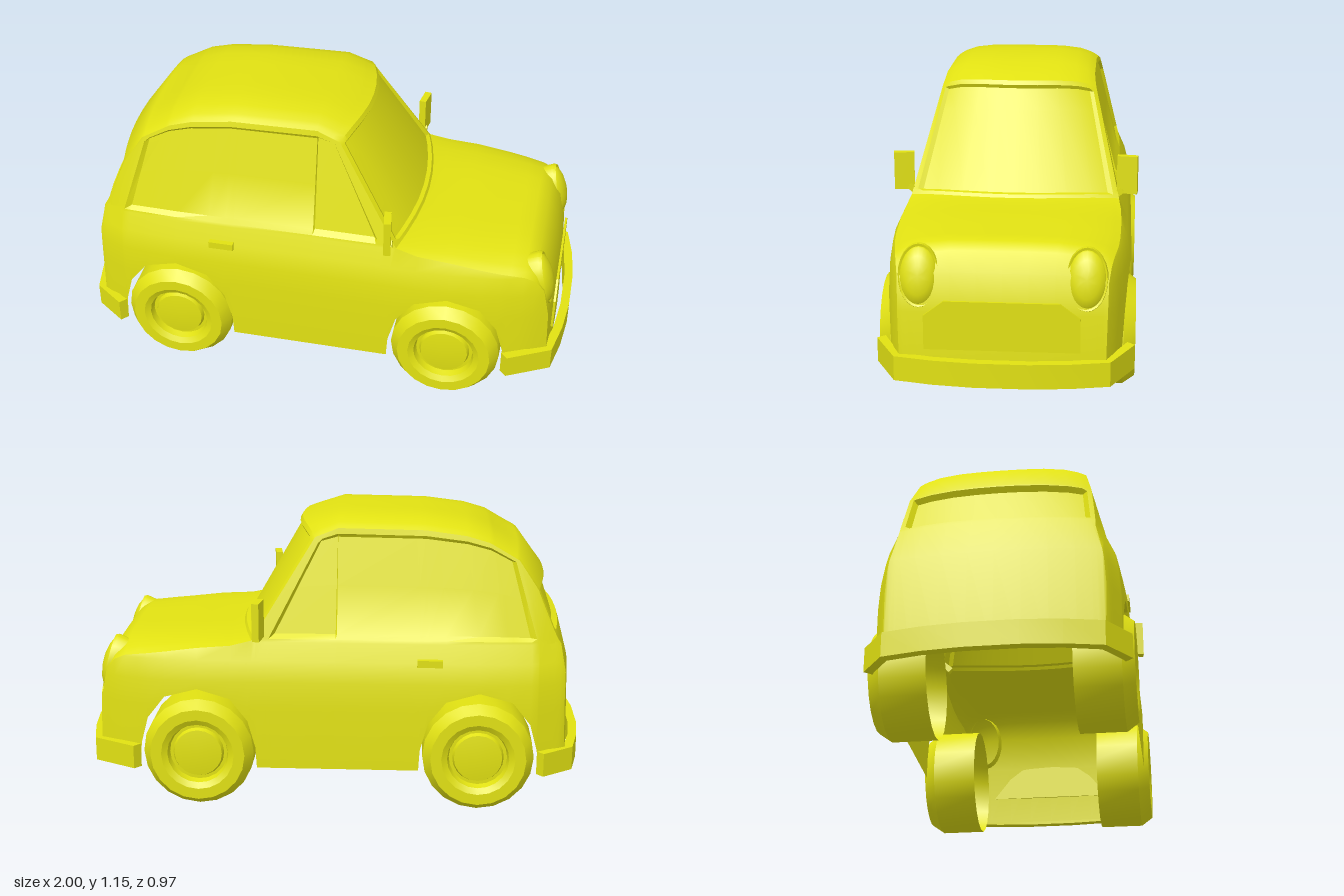
import * as THREE from 'three';
import { toCreasedNormals } from 'three/addons/utils/BufferGeometryUtils.js';

const paint = new THREE.MeshStandardMaterial({ color: 0xe1e112, side: THREE.DoubleSide });
paint.name = 'yellow paint';

function add(parent, name, geometry, crease = 0.55) {
  const mesh = new THREE.Mesh(toCreasedNormals(geometry, crease), paint);
  mesh.name = name;
  parent.add(mesh);
  return mesh;
}

// linear lookup in rows of [key, ...values]; returns the values
function lookup(rows, k) {
  const i = rows.findIndex((row) => k <= row[0]);
  if (i === 0) return rows[0].slice(1);
  if (i < 0) return rows[rows.length - 1].slice(1);
  const a = rows[i - 1], b = rows[i];
  const t = (k - a[0]) / (b[0] - a[0]);
  return a.slice(1).map((v, n) => v + (b[n + 1] - v) * t);
}

const FLOOR = 0.165, BELT = 0.67;
const WHEELS = { front: 0.53, rear: -0.58 };

// half width along the car, and how it narrows with height
const plan = [[-0.96, 0.37], [-0.9, 0.41], [-0.8, 0.45], [-0.6, 0.465], [0.5, 0.468], [0.7, 0.45], [0.85, 0.415], [0.94, 0.375]];
const taper = [[0.42, 1], [0.52, 0.985], [0.6, 0.955], [BELT, 0.885], [1.1, 0.65]];
const halfWidth = (x, y) => lookup(plan, x)[0] * lookup(taper, y)[0];

// wheel arch height by distance from the axle
const arch = [[0, 0.487], [0.13, 0.45], [0.2, 0.36], [0.23, 0.25], [0.235, FLOOR]];
const axles = Object.values(WHEELS);
const sillHeight = (x) => Math.max(...axles.map((c) => lookup(arch, Math.abs(x - c))[0]));

// body keys: x below belt, x at top edge, edge height, crown, bow
const cabin = [
  [-0.925, -0.925, FLOOR, 0, -0.03],
  [-0.915, -0.915, 0.56, 0, -0.03],
  [-0.895, -0.875, 0.7, 0.01, -0.03],
  [-0.87, -0.8, 0.88, 0.02, -0.04],
  [-0.83, -0.725, 0.99, 0.035, -0.02],
  [-0.78, -0.69, 1.01, 0.04, 0],
  [-0.69, -0.61, 1.055, 0.043, 0],
  [-0.58, -0.52, 1.08, 0.045, 0],
  [-0.38, -0.36, 1.1, 0.045, 0],
  [-0.02, -0.02, 1.105, 0.045, 0],
  [0.24, 0.03, 1.085, 0.04, 0.05],
  [0.295, 0.07, 1.07, 0.035, 0.07],
];
// bonnet keys: x, edge height, crown, bow
const bonnet = [
  [0.315, 0.675, 0.012, 0.065],
  [0.4, 0.655, 0.025, 0.02],
  [0.53, 0.645, 0.035, 0],
  [0.82, 0.605, 0.055, 0],
  [0.865, 0.585, 0.05, 0],
  [0.9, 0.54, 0.025, 0.01],
  [0.925, 0.42, 0, 0.015],
  [0.935, FLOOR, 0, 0.015],
].map(([x, ...rest]) => [x, x, ...rest]);
const body = [...cabin, ...bonnet];

// recess depth of the side windows, and of the rear window and windscreen
const sideGlass = [[-0.805, 0], [-0.78, 0.014], [-0.02, 0.01], [-0.014, 0.018], [0.24, 0.018], [0.255, 0]];
const endGlass = [[-0.8935, 0], [-0.8915, 0.018], [-0.8725, 0.018], [-0.871, 0], [0.2958, 0], [0.2962, 0.012], [0.314, 0.012], [0.3144, 0]];

// every x where a rule bends gets a cross-section
const bends = [...body, ...sideGlass, ...endGlass].map((row) => row[0]);
for (const c of axles) for (const [d] of arch) bends.push(c - d, c + d);
const stations = [...new Set(bends.map((x) => Math.round(x * 1e4)))].sort((a, b) => a - b).map((x) => x / 1e4);

// one cross-section, from the left sill over the top to the right sill
function section(low) {
  const [top, edge, crown, bow] = lookup(body, low);
  const [recess] = lookup(sideGlass, low), [endRecess] = lookup(endGlass, low);
  const half = [];
  for (const row of [0, 0.42, 0.52, 0.6, BELT]) {
    const y = Math.min(Math.max(row, sillHeight(low)), edge);
    half.push([low, y, halfWidth(low, y)]);
  }
  for (const [f, inset] of [[0.03, 0], [0.07, 1], [0.5, 1], [0.92, 1], [0.95, 0], [1, 0]]) {
    const y = edge > BELT ? BELT + (edge - BELT) * f : edge;
    const x = low + (top - low) * f;
    half.push([x, y, halfWidth(x, y) - recess * inset]);
  }
  const w = halfWidth(top, edge);
  for (const s of [0.95, 0.9, 0.75, 0.5, 0.25, 0]) {
    const d = s <= 0.9 ? endRecess : 0;
    half.push([top + bow * (1 - s * s) - Math.sign(bow) * d, edge + crown * (1 - s ** 5) - d / 2, w * s]);
  }
  const mirrored = half.slice(0, -1).reverse().map(([x, y, z]) => [x, y, -z]);
  return [...half, ...mirrored].map((p) => new THREE.Vector3(...p));
}

function bodyGeometry() {
  const grid = stations.map(section), positions = [];
  const tri = (a, b, c) => {
    const area = b.clone().sub(a).cross(c.clone().sub(a)).length();
    if (area > 1e-7) for (const p of [a, b, c]) positions.push(p.x, p.y, p.z);
  };
  for (let i = 0; i < grid.length - 1; i++) {
    for (let j = 0; j < grid[0].length - 1; j++) {
      tri(grid[i][j], grid[i + 1][j], grid[i + 1][j + 1]);
      tri(grid[i][j], grid[i + 1][j + 1], grid[i][j + 1]);
    }
  }
  const g = new THREE.BufferGeometry();
  g.setAttribute('position', new THREE.Float32BufferAttribute(positions, 3));
  return g;
}

// wraparound bumper, extruded upwards from its plan
function bumperGeometry(end) {
  const outer = [[end, 0.455], [end + 0.025, 0.483], [0.955, 0.395], [0.985, 0.25], [1, 0.1]];
  const inner = [[0.965, 0.1], [0.95, 0.25], [0.92, 0.38], [end + 0.02, 0.445]];
  const flip = (list) => list.slice().reverse().map(([x, z]) => [x, -z]);
  const outline = [...outer, ...flip(outer), ...flip(inner), ...inner];
  const shape = new THREE.Shape(outline.map(([x, z]) => new THREE.Vector2(x, z)));
  const g = new THREE.ExtrudeGeometry(shape, { depth: 0.095, bevelEnabled: false });
  return g.rotateX(-Math.PI / 2).translate(0, 0.157, 0);
}

const lathe = (profile, sides) => new THREE.LatheGeometry(profile.map(([r, h]) => new THREE.Vector2(r, h)), sides);

export function createModel() {
  const car = new THREE.Group();
  car.name = 'smallCar';
  add(car, 'bodyShell', bodyGeometry());

  // bumpers
  add(car, 'frontBumper', bumperGeometry(0.76), 0.4);
  add(car, 'rearBumper', bumperGeometry(0.81), 0.4).rotation.y = Math.PI;

  // grille plate on the nose
  const grille = new THREE.Shape([[-0.285, 0.28], [0.285, 0.28], [0.285, 0.41], [0.21, 0.467], [-0.21, 0.467], [-0.285, 0.41]]
    .map(([z, y]) => new THREE.Vector2(z, y)));
  const plate = new THREE.ExtrudeGeometry(grille, { depth: 0.009, bevelEnabled: false });
  add(car, 'grille', plate.rotateY(Math.PI / 2).translate(0.938, 0, 0));

  // wheels, hollow on the inner side
  const wheelProfile = [[0.22, 0.265], [0.22, 0.44], [0.188, 0.485], [0.145, 0.485], [0.122, 0.472], [0.115, 0.445], [0.102, 0.445], [0.095, 0.462], [0, 0.472]];
  for (const [name, x] of Object.entries(WHEELS)) {
    for (const side of [1, -1]) {
      const wheel = add(car, name + (side > 0 ? 'LeftWheel' : 'RightWheel'), lathe(wheelProfile, 20).rotateX(Math.PI / 2), 0.45);
      wheel.position.set(x, 0.22, 0);
      if (side < 0) wheel.rotation.y = Math.PI;
    }
  }

  const lampProfile = [[0.92, -0.06], [1, 0], [0.96, 0.012], [0.88, 0.008], [0.84, 0.014], [0.6, 0.028], [0.3, 0.036], [0, 0.038]];
  for (const side of [1, -1]) {
    const label = side > 0 ? 'left' : 'right';
    // headlight with its collar
    const lamp = lathe(lampProfile, 24).rotateZ(-Math.PI / 2).scale(1, 0.12, 0.077);
    const headlight = add(car, label + 'Headlight', lamp);
    headlight.position.set(0.89, 0.545, side * 0.305);
    headlight.rotation.z = 0.25;

    // wing mirror on a short stalk
    const mirror = add(car, label + 'Mirror', new THREE.BoxGeometry(0.028, 0.152, 0.08));
    mirror.position.set(0.285, 0.766, side * 0.444);
    mirror.rotation.y = side * 0.15;
    const stalk = add(car, label + 'MirrorStalk', new THREE.BoxGeometry(0.025, 0.025, 0.07));
    stalk.position.set(0.288, 0.683, side * 0.398);
    stalk.rotation.x = -side * 0.7;

    // door handle
    const handle = add(car, label + 'DoorHandle', new THREE.BoxGeometry(0.1, 0.028, 0.026));
    handle.position.set(-0.385, 0.603, side * 0.445);
  }
  return car;
}
